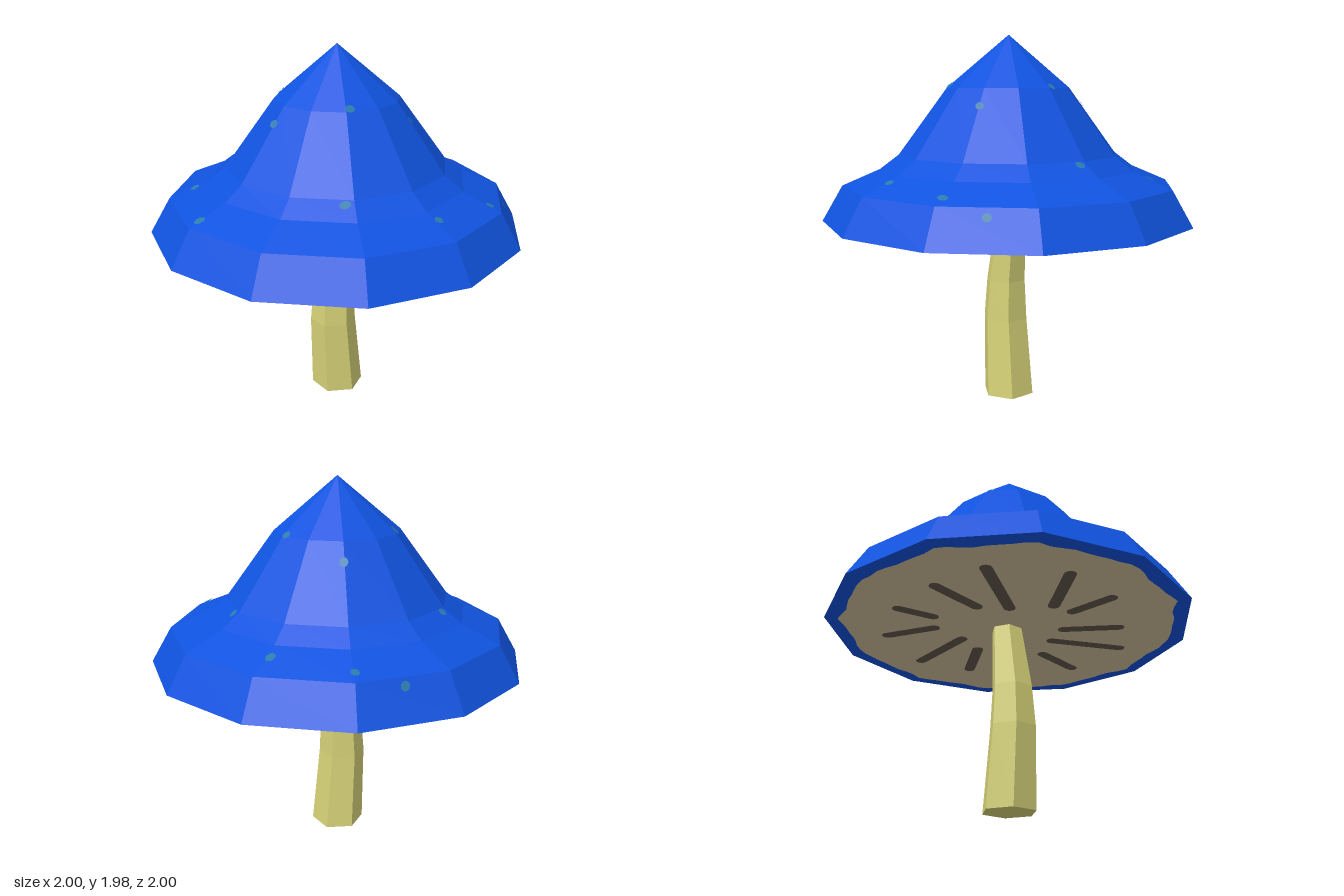
import * as THREE from 'three';

const material = (name, color, extra = {}) => {
  const m = new THREE.MeshStandardMaterial({ color, flatShading: true, ...extra });
  m.name = name;
  return m;
};

const CAP_SIDES = 12;
// cap profile from rim to tip: radius, height
const CAP = [[1, 1.008], [0.89, 1.195], [0.69, 1.28], [0.59, 1.355], [0.33, 1.705], [0, 1.98]];
// stem rings: radius, height, sideways bend
const STEM = [[0.145, 0, 0], [0.127, 0.43, -0.03], [0.112, 0.65, -0.025], [0.086, 1.008, 0.02]];
// spots on the cap: x, z
const SPOTS = [
  [-0.26, -0.54], [-0.66, -0.36], [-0.17, -0.26], [0.41, -0.72], [0.2, -0.34], [0.65, -0.4],
  [0.32, -0.02], [0.6, 0.04], [-0.83, 0], [-0.39, 0], [-0.14, 0.28], [-0.34, 0.5],
  [0.2, 0.34], [0.02, 0.75], [0.42, 0.71], [0.63, 0.62], [0.23, -0.85],
];
// gill strokes: start and end on the underside
const GILLS = [
  [-0.42, 0.54, -0.11, 0.27], [-0.56, 0.26, -0.26, 0.19], [-0.64, -0.05, -0.4, -0.03],
  [-0.56, -0.37, -0.34, -0.19], [-0.26, -0.63, -0.15, -0.24], [-0.05, 0.68, 0.04, 0.41],
  [0.28, 0.57, 0.18, 0.4], [0.29, 0.16, 0.52, 0.35], [0.27, -0.01, 0.69, 0.09],
  [0.29, -0.24, 0.62, -0.31], [0.22, -0.34, 0.37, -0.53], [0, -0.3, 0.02, -0.6],
];

const lathe = (points, sides) =>
  new THREE.LatheGeometry(points.map(([r, y]) => new THREE.Vector2(r, y)), sides);

// stroke with round ends
function strokeShape([x0, y0, x1, y1], half) {
  const a = Math.atan2(y1 - y0, x1 - x0);
  const s = new THREE.Shape();
  s.absarc(x1, y1, half, a - Math.PI / 2, a + Math.PI / 2);
  s.absarc(x0, y0, half, a + Math.PI / 2, a + Math.PI * 1.5);
  return s;
}

// finds the cap facet under (x, z): point on it and its outward normal
function onCap(x, z) {
  const step = (Math.PI * 2) / CAP_SIDES;
  const mid = (Math.floor(Math.atan2(x, z) / step) + 0.5) * step;
  const k = Math.cos(step / 2);
  const r = (x * Math.sin(mid) + z * Math.cos(mid)) / k;
  let i = 0;
  while (i < CAP.length - 2 && r < CAP[i + 1][0]) i++;
  const [r0, y0] = CAP[i], [r1, y1] = CAP[i + 1];
  const y = y0 + ((r - r0) / (r1 - r0)) * (y1 - y0);
  const out = y1 - y0, up = (r0 - r1) * k;
  const normal = new THREE.Vector3(Math.sin(mid) * out, up, Math.cos(mid) * out).normalize();
  return { point: new THREE.Vector3(x, y, z), normal };
}

export function createModel() {
  const blue = material('cap blue', 0x1053e0);
  const teal = material('spot teal', 0x2a7aac);
  const yellow = material('stem yellow', 0xd6d278);
  const tan = material('underside tan', 0xd0c09c, { side: THREE.DoubleSide });
  const brown = material('gill brown', 0x62574a, { side: THREE.DoubleSide });

  const model = new THREE.Group();
  model.name = 'mushroom';
  const add = (name, geometry, mat, parent = model) => {
    const mesh = new THREE.Mesh(geometry, mat);
    mesh.name = name;
    parent.add(mesh);
    return mesh;
  };

  // faceted cap with a flat bottom
  add('cap', lathe([[0, 1.008], ...CAP], CAP_SIDES), blue);

  // bent six-sided stem
  const stem = lathe([[0, 0], ...STEM], 6);
  const pos = stem.attributes.position;
  for (let i = 0; i < pos.count; i++) {
    const ring = STEM.find(([, y]) => Math.abs(y - pos.getY(i)) < 1e-4);
    pos.setX(i, pos.getX(i) + ring[2]);
  }
  add('stem', stem, yellow);

  // underside with a slightly ragged edge
  const edge = [];
  for (let i = 0; i < 96; i++) {
    const a = (i / 96) * Math.PI * 2;
    const local = (a % (Math.PI / 6)) - Math.PI / 12;
    const polygon = 0.92 * Math.cos(Math.PI / 12) / Math.cos(local);
    const r = polygon + 0.006 * Math.sin(a * 17) + 0.005 * Math.sin(a * 29 + 1);
    edge.push(new THREE.Vector2(r * Math.cos(a), r * Math.sin(a)));
  }
  const underside = add('underside', new THREE.ShapeGeometry(new THREE.Shape(edge)), tan);
  underside.rotation.x = Math.PI / 2;
  underside.position.y = 1.004;

  // painted gills
  const gills = add('gills', new THREE.ShapeGeometry(GILLS.map((g) => strokeShape(g, 0.032)), 6), brown);
  gills.rotation.set(Math.PI / 2, 0, THREE.MathUtils.degToRad(-140));
  gills.position.y = 1;

  // small spots lying on the cap facets
  const spots = new THREE.Group();
  spots.name = 'spots';
  model.add(spots);
  const disc = new THREE.CircleGeometry(0.022, 10);
  SPOTS.forEach(([x, z], i) => {
    const { point, normal } = onCap(x, z);
    const spot = add('spot', disc, teal, spots);
    spot.position.copy(point).addScaledVector(normal, 0.004);
    spot.quaternion.setFromUnitVectors(new THREE.Vector3(0, 0, 1), normal);
    spot.scale.x = 1 + 0.15 * (i % 3);
  });

  return model;
}
